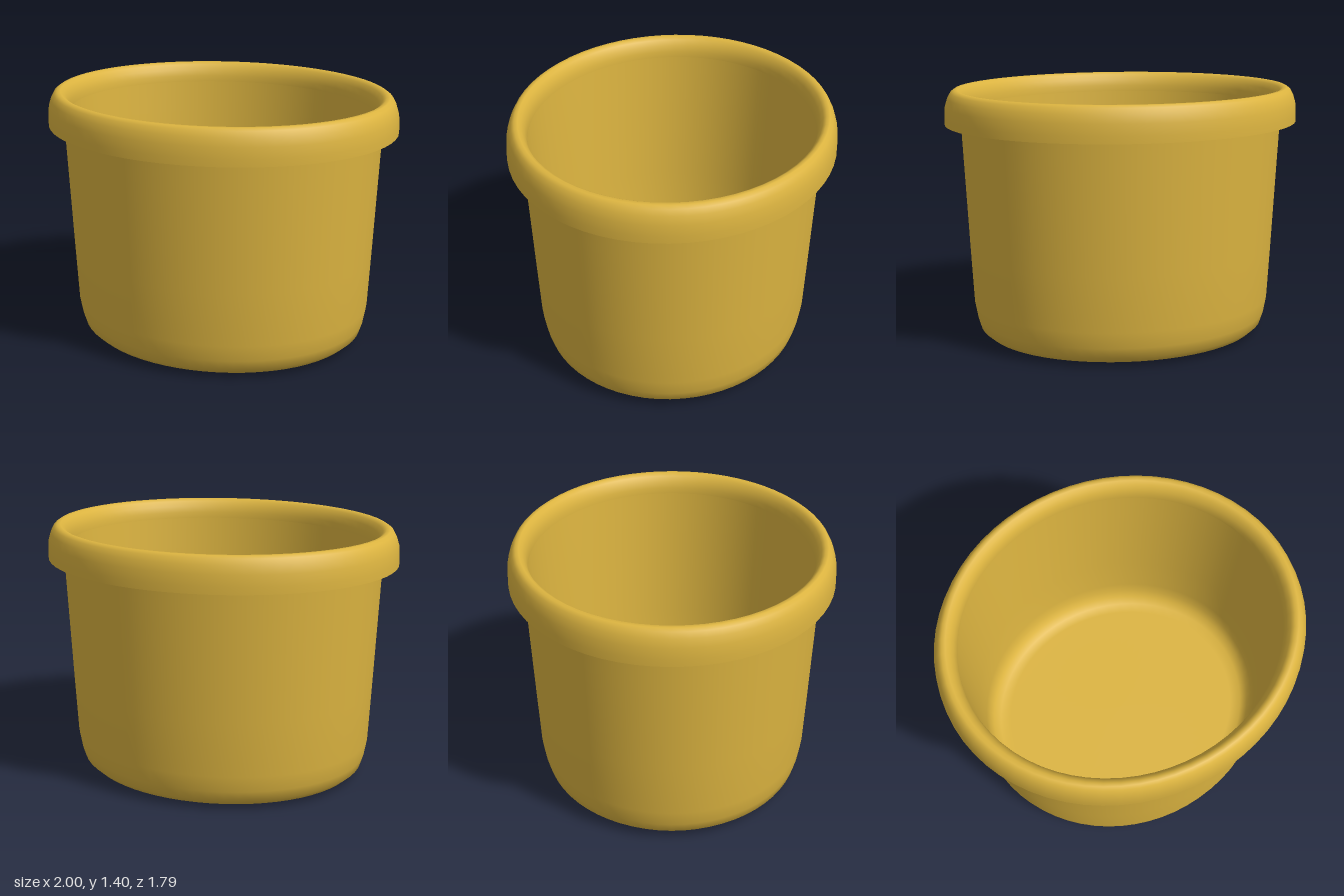
import * as THREE from 'three';

const DEPTH = 0.895; // the plan is an ellipse, shallower in z
const SEGMENTS = 64;

export function createModel() {
  const group = new THREE.Group();
  group.name = 'tub';
  const mustard = new THREE.MeshStandardMaterial({ color: 0xdcb440 });
  mustard.name = 'mustard';

  // Revolve a profile of [radius, y] points, then squash it to the elliptical plan
  function turned(name, profile) {
    const points = profile.map(([r, y]) => new THREE.Vector2(r, y));
    const geometry = new THREE.LatheGeometry(points, SEGMENTS);
    geometry.scale(1, 1, DEPTH);
    const mesh = new THREE.Mesh(geometry, mustard);
    mesh.name = name;
    group.add(mesh);
  }

  // Tapered outer wall with a rounded foot and closed base
  turned('outerWall', [
    [0, 0], [0.66, 0], [0.715, 0.005], [0.78, 0.021], [0.82, 0.055],
    [0.838, 0.11], [0.855, 0.2], [0.872, 0.5], [0.89, 0.84], [0.91, 1.215],
  ]);

  // Inner wall running down to a rounded floor
  turned('innerWall', [
    [0.885, 1.3], [0.873, 1.1], [0.856, 0.8], [0.84, 0.5], [0.825, 0.22],
    [0.812, 0.15], [0.79, 0.1], [0.75, 0.07], [0.69, 0.06], [0, 0.06],
  ]);

  // Rolled rim, curving over to the inside
  turned('rim', [
    [1.0, 1.21], [1.0, 1.25], [0.996, 1.31], [0.982, 1.355], [0.965, 1.385],
    [0.946, 1.398], [0.925, 1.398], [0.904, 1.385], [0.886, 1.355],
    [0.876, 1.32], [0.875, 1.285],
  ]);

  // Flat undersides of the rim, outside and inside
  turned('rimUnderside', [[0.9, 1.21], [1.0, 1.21]]);
  turned('rimInnerLip', [[0.875, 1.285], [0.89, 1.285]]);

  return group;
}
